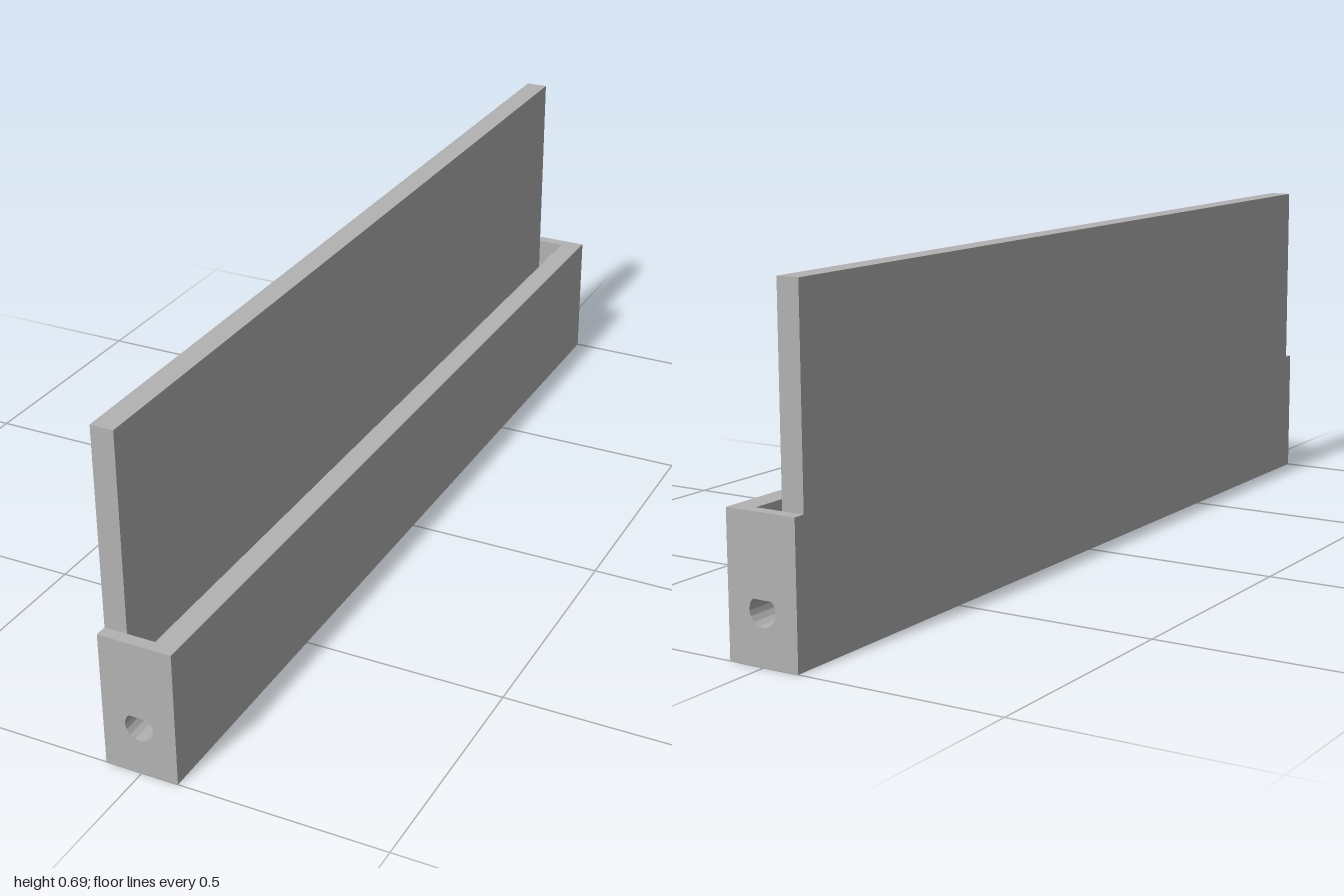
import * as THREE from 'three';
import { toCreasedNormals } from 'three/addons/utils/BufferGeometryUtils.js';

const HALF_W = 0.076, HALF_L = 1;      // base block footprint
const SLOT_X = 0.029, SLOT_Z = 0.975;  // open channel footprint
const FLOOR_Y = 0.19, RIM_Y = 0.28, TOP_Y = 0.69;

// Rectangle outline, usable as a shape or a hole
function rect(PathType, x0, y0, x1, y1) {
  const p = new PathType();
  p.moveTo(x0, y0);
  p.lineTo(x1, y0);
  p.lineTo(x1, y1);
  p.lineTo(x0, y1);
  p.closePath();
  return p;
}

// Teardrop: a circle whose 45 degree tangents meet in a point at the top
function teardrop(cy, r) {
  const p = new THREE.Path();
  p.moveTo(0, cy + r * Math.SQRT2);
  p.absarc(0, cy, r, Math.PI * 0.75, Math.PI * 2.25, false);
  p.closePath();
  return p;
}

export function createModel() {
  const grey = new THREE.MeshStandardMaterial({ color: 0xb2b2b2 });
  grey.name = 'plain grey';
  const group = new THREE.Group();
  group.name = 'channelRail';

  const add = (name, geometry) => {
    const mesh = new THREE.Mesh(geometry, grey);
    mesh.name = name;
    group.add(mesh);
    return mesh;
  };

  // Lower block with the teardrop bore running its full length
  const section = rect(THREE.Shape, -HALF_W, 0, HALF_W, FLOOR_Y);
  section.holes.push(teardrop(0.102, 0.029));
  const block = new THREE.ExtrudeGeometry(section, {
    depth: HALF_L * 2, bevelEnabled: false, curveSegments: 40,
  });
  block.translate(0, 0, -HALF_L);
  add('boredBase', toCreasedNormals(block, 0.5));

  // Rim around the open channel
  const plan = rect(THREE.Shape, -HALF_W, -HALF_L, HALF_W, HALF_L);
  plan.holes.push(rect(THREE.Path, -SLOT_X, -SLOT_Z, SLOT_X, SLOT_Z));
  const rim = new THREE.ExtrudeGeometry(plan, {
    depth: RIM_Y - FLOOR_Y, bevelEnabled: false,
  });
  rim.rotateX(-Math.PI / 2);
  rim.translate(0, FLOOR_Y, 0);
  add('channelRim', rim);

  // Tall back plate standing on one side of the rim
  const plate = add('uprightPlate',
    new THREE.BoxGeometry(HALF_W - SLOT_X, TOP_Y - RIM_Y, SLOT_Z * 2));
  plate.position.set(-(HALF_W + SLOT_X) / 2, (RIM_Y + TOP_Y) / 2, 0);

  return group;
}
